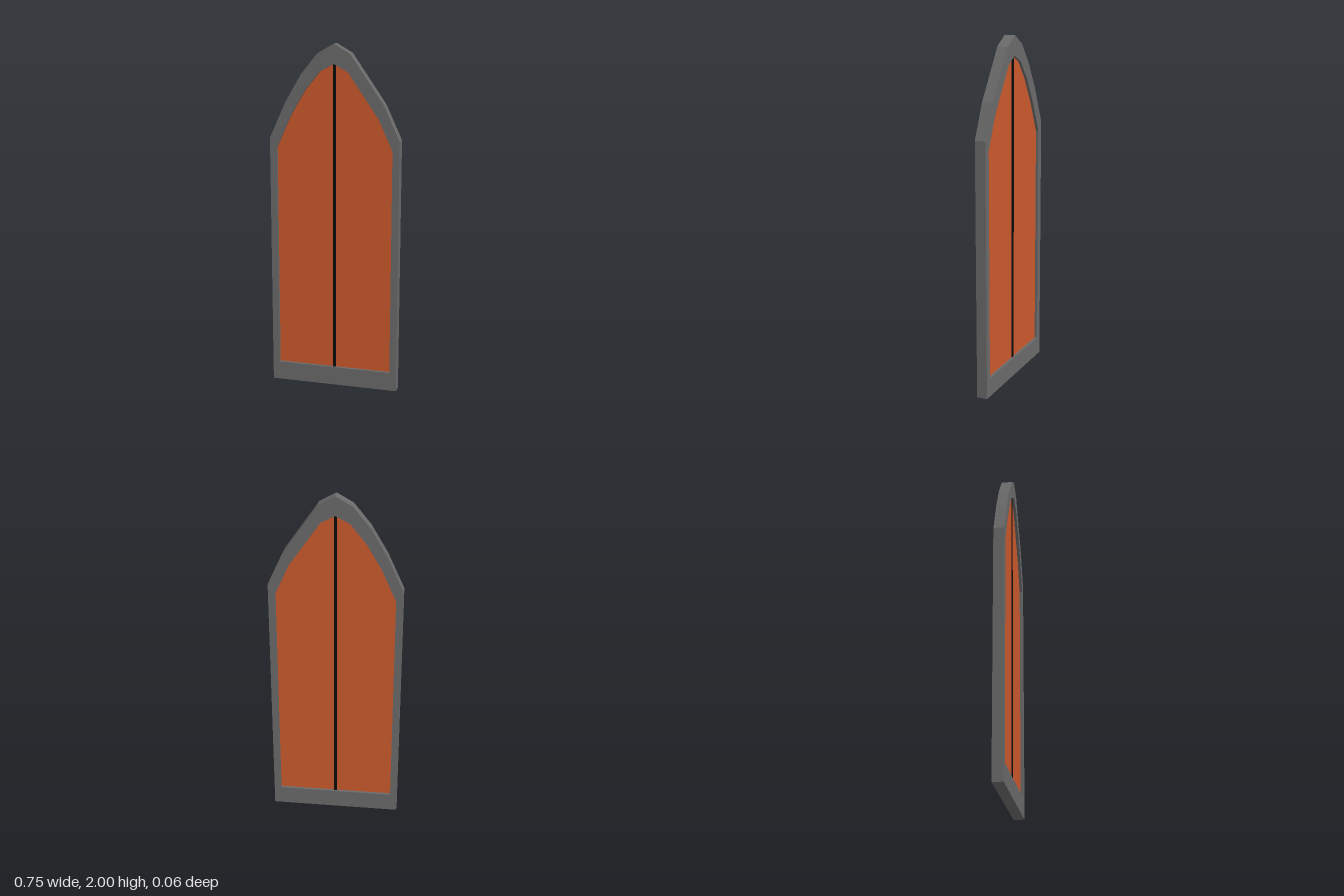
import * as THREE from 'three';

// Pointed-arch outlines, counter-clockwise from the bottom left.
const OUTER = [[-0.375, 0], [0.375, 0], [0.375, 1.475], [0.285, 1.67], [0.093, 1.947], [0, 2],
  [-0.093, 1.947], [-0.19, 1.827], [-0.283, 1.667], [-0.375, 1.465]];
const INNER = [[-0.335, 0.11], [0.335, 0.11], [0.335, 1.417], [0.255, 1.595], [0.08, 1.847], [0, 1.89],
  [-0.08, 1.847], [-0.167, 1.74], [-0.252, 1.595], [-0.335, 1.41]];

const toPoints = (list) => list.map(([x, y]) => new THREE.Vector2(x, y));

// Extruded plate centred on z = 0.
function plate(name, shape, depth, color) {
  const geometry = new THREE.ExtrudeGeometry(shape, { depth, bevelEnabled: false });
  geometry.translate(0, 0, -depth / 2);
  const mesh = new THREE.Mesh(geometry, new THREE.MeshStandardMaterial({ color, flatShading: true }));
  mesh.name = name;
  return mesh;
}

export function createModel() {
  const group = new THREE.Group();
  group.name = 'archedShutter';

  // Stone surround with the arched opening
  const surround = new THREE.Shape(toPoints(OUTER));
  surround.holes.push(new THREE.Path(toPoints(INNER)));
  group.add(plate('frame', surround, 0.062, 0x6a6a6a));

  // Recessed panel filling the opening
  group.add(plate('panel', new THREE.Shape(toPoints(INNER)), 0.03, 0xcb592c));

  // Dark bar down the middle, standing slightly proud on both faces
  const bar = new THREE.Mesh(
    new THREE.BoxGeometry(0.016, 1.78, 0.042),
    new THREE.MeshStandardMaterial({ color: 0x0a0a0a, flatShading: true })
  );
  bar.name = 'centreBar';
  bar.position.y = 1.0;
  group.add(bar);

  return group;
}
